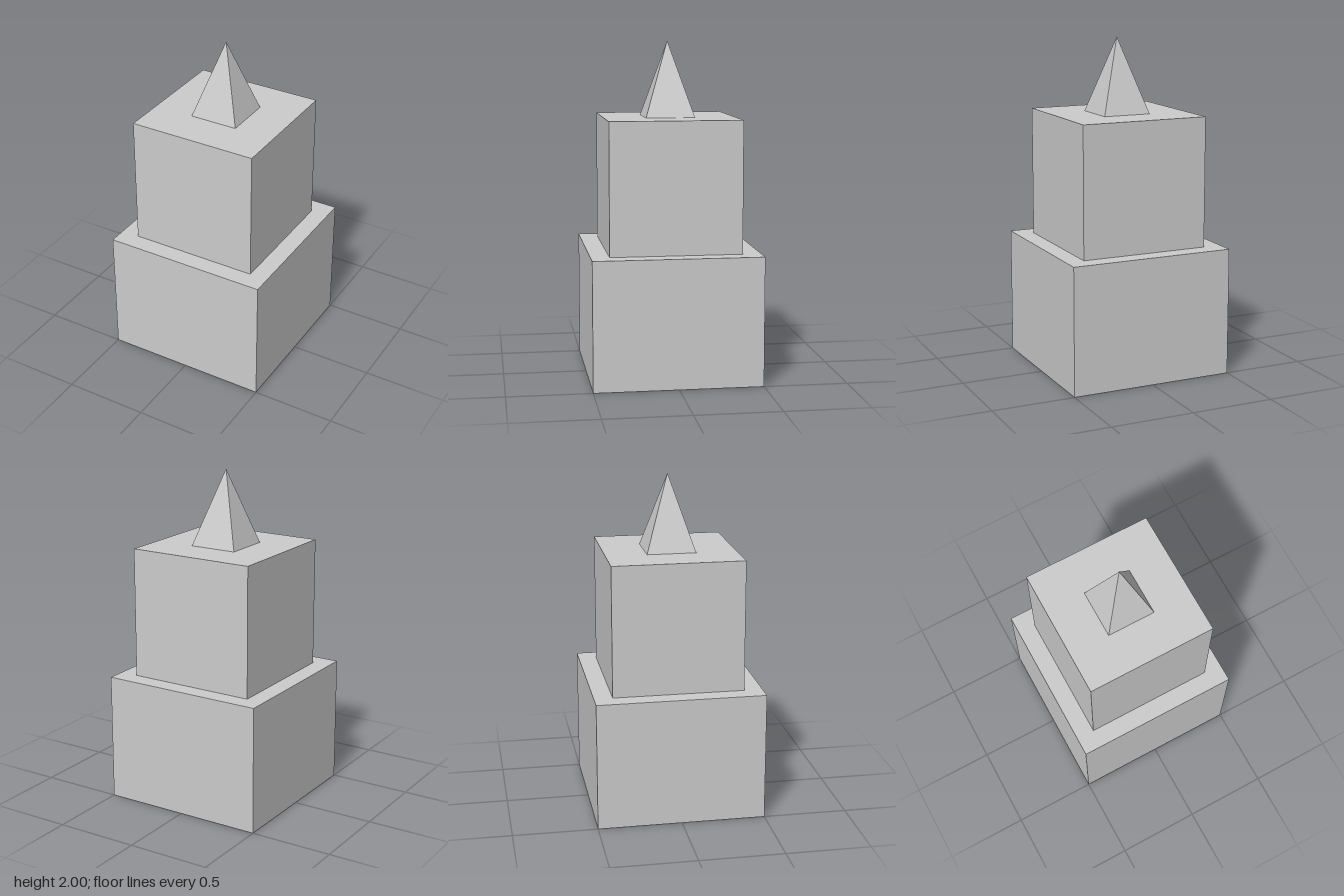
import * as THREE from 'three';

const material = new THREE.MeshStandardMaterial({ color: 0xcccccc, flatShading: true });

// Adds a part whose geometry is centred on its own height, spanning bottom to top
function addPart(group, name, geometry, bottom, top) {
  const mesh = new THREE.Mesh(geometry, material);
  mesh.name = name;
  mesh.position.y = (bottom + top) / 2;
  group.add(mesh);
}

export function createModel() {
  const group = new THREE.Group();
  group.name = 'steppedTower';

  const baseTop = 0.768, upperTop = 1.55, tip = 2;

  // Two stacked square blocks
  addPart(group, 'lowerBlock', new THREE.BoxGeometry(1, baseTop, 1), 0, baseTop);
  addPart(group, 'upperBlock', new THREE.BoxGeometry(0.78, upperTop - baseTop, 0.78), baseTop, upperTop);

  // Four-sided spire, turned so its sides line up with the blocks
  const spireHalf = 0.146;
  const spire = new THREE.ConeGeometry(spireHalf * Math.SQRT2, tip - upperTop, 4);
  spire.rotateY(Math.PI / 4);
  addPart(group, 'spire', spire, upperTop, tip);

  return group;
}
